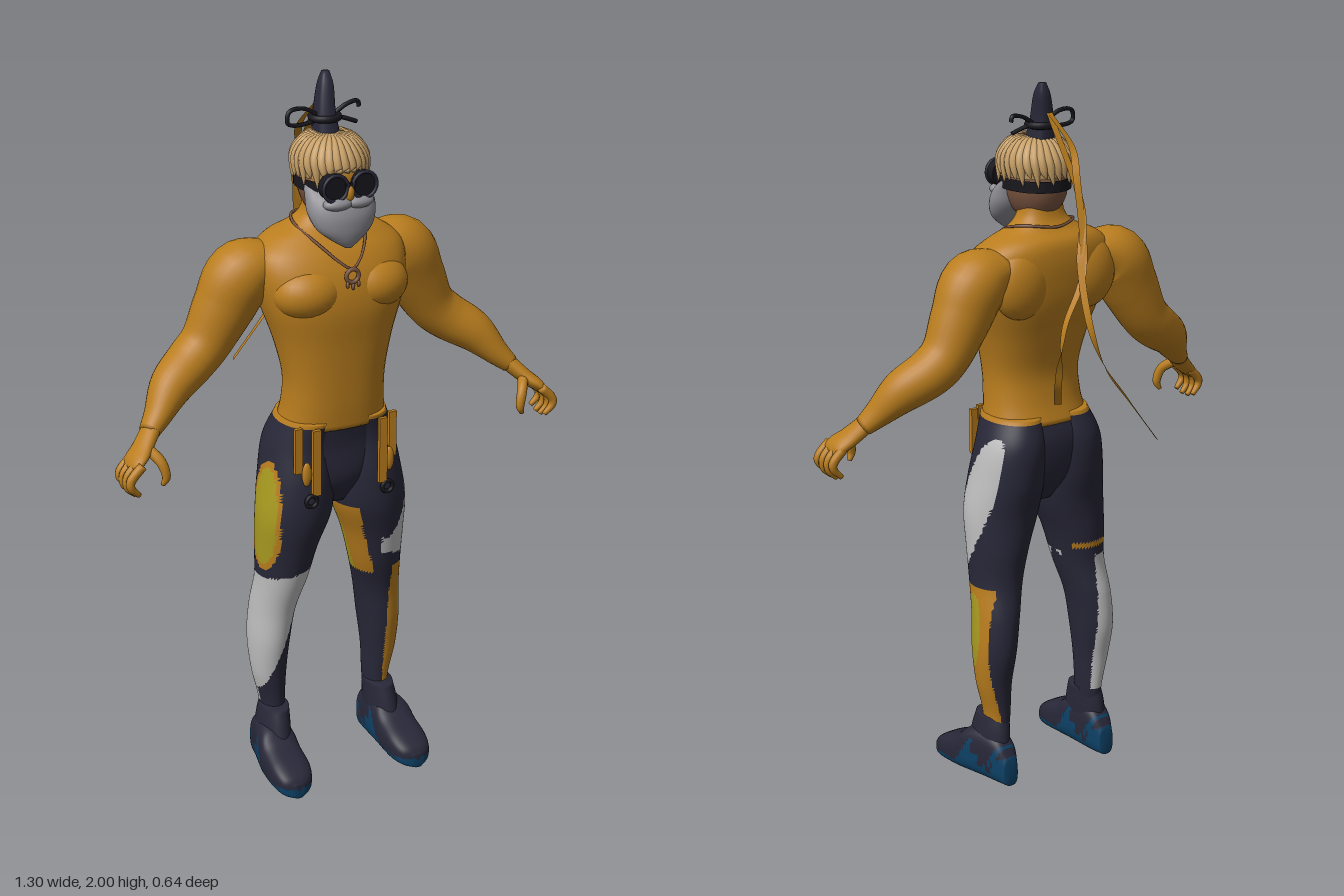
import * as THREE from 'three';

const mat = (name, color) => {
  const m = new THREE.MeshStandardMaterial({ color, side: THREE.DoubleSide });
  m.name = name;
  return m;
};

// Smooth body through rings [x, y, z, halfWidthA, halfWidthB].
// dir fixes the ring plane, e squares the section, paint picks a material index.
function loft(rings, { seg = 20, sub = 5, dir = null, ref = [0, 0, 1], e = 2, paint = null } = {}) {
  const path = new THREE.CatmullRomCurve3(rings.map(r => new THREE.Vector3(r[0], r[1], r[2])), false, 'catmullrom');
  const size = new THREE.CatmullRomCurve3(rings.map(r => new THREE.Vector3(r[3], r[4], 0)), false, 'catmullrom');
  const rows = (rings.length - 1) * sub, pos = [], groups = [];
  const pw = v => Math.sign(v) * Math.pow(Math.abs(v), 2 / e);
  for (let i = 0; i <= rows; i++) {
    const c = path.getPoint(i / rows), s = size.getPoint(i / rows);
    const T = dir ? new THREE.Vector3(...dir) : path.getTangent(i / rows);
    const B = new THREE.Vector3(...ref).addScaledVector(T, -T.dot(new THREE.Vector3(...ref))).normalize();
    const A = new THREE.Vector3().crossVectors(T, B);
    for (let j = 0; j < seg; j++) {
      const a = j / seg * Math.PI * 2;
      const p = c.clone().addScaledVector(A, pw(Math.cos(a)) * s.x).addScaledVector(B, pw(Math.sin(a)) * s.y);
      pos.push(p.x, p.y, p.z);
    }
  }
  const first = pos.length / 3;
  for (const t of [0, 1]) pos.push(...path.getPoint(t).toArray());
  const tri = (a, b, c) => {
    const mid = k => (pos[a * 3 + k] + pos[b * 3 + k] + pos[c * 3 + k]) / 3;
    const m = paint ? paint(mid(0), mid(1), mid(2)) : 0;
    (groups[m] ??= []).push(a, b, c);
  };
  for (let j = 0; j < seg; j++) {
    const k = (j + 1) % seg, L = rows * seg;
    for (let i = 0; i < rows; i++) {
      const a = i * seg + j, b = a + seg, c = i * seg + k, d = c + seg;
      tri(a, b, c);
      tri(b, d, c);
    }
    tri(first, j, k);
    tri(first + 1, L + k, L + j);
  }
  const g = new THREE.BufferGeometry(), index = [];
  groups.forEach((list, m) => {
    g.addGroup(index.length, list.length, m);
    for (const v of list) index.push(v);
  });
  g.setAttribute('position', new THREE.Float32BufferAttribute(pos, 3));
  g.setIndex(index);
  g.computeVertexNormals();
  if (!paint) g.clearGroups();
  return g;
}

// Flat ribbon whose width lies level
function ribbon(points, w) {
  const curve = new THREE.CatmullRomCurve3(points.map(p => new THREE.Vector3(...p)));
  const n = 40, pos = [], idx = [], up = new THREE.Vector3(0, 1, 0);
  for (let i = 0; i <= n; i++) {
    const p = curve.getPoint(i / n), s = curve.getTangent(i / n).cross(up).normalize().multiplyScalar(w);
    pos.push(p.x + s.x, p.y, p.z + s.z, p.x - s.x, p.y, p.z - s.z);
    if (i < n) idx.push(2 * i, 2 * i + 1, 2 * i + 2, 2 * i + 1, 2 * i + 3, 2 * i + 2);
  }
  const g = new THREE.BufferGeometry();
  g.setAttribute('position', new THREE.Float32BufferAttribute(pos, 3));
  g.setIndex(idx);
  g.computeVertexNormals();
  return g;
}

const tube = (points, r, closed = false) => new THREE.TubeGeometry(
  new THREE.CatmullRomCurve3(points.map(p => new THREE.Vector3(...p)), closed), 48, r, 6, closed);
// Level ring from its extents
const ring = (y, x0, x1, z0, z1) => [(x0 + x1) / 2, y, (z0 + z1) / 2, (x1 - x0) / 2, (z1 - z0) / 2];
const DOWN = [0, -1, 0];

export function createModel() {
  const skin = mat('amber skin', 0xb97d1e), navy = mat('dark navy', 0x282738), white = mat('pale grey', 0xbebebe);
  const yellow = mat('olive yellow', 0xa89a20), hair = mat('blond', 0xc9a168), beard = mat('beard grey', 0x8c8c92);
  const black = mat('black', 0x17171d), blue = mat('deep blue', 0x0d4166), brown = mat('brown', 0x7a5540);
  const model = new THREE.Group();
  const add = (name, geo, material, p = [0, 0, 0], scale = [1, 1, 1]) => {
    const m = new THREE.Mesh(geo, material);
    m.name = name;
    m.position.set(...p);
    m.scale.set(...scale);
    model.add(m);
    return m;
  };
  const ball = new THREE.SphereGeometry(1, 28, 18);

  // Torso and neck
  const torso = [[1.74, .06, .05, .14], [1.65, .065, .04, .145], [1.61, .1, .02, .155], [1.58, .165, -.01, .18],
    [1.54, .21, -.02, .215], [1.48, .215, -.02, .245], [1.4, .198, -.01, .258], [1.3, .165, .02, .25],
    [1.2, .143, .043, .243], [1.12, .143, .035, .238], [1.055, .153, .015, .232]];
  add('torso', loft(torso.map(([y, x, a, b]) => ring(y, -x, x, a, b)), { seg: 40, dir: DOWN, e: 2.4 }), skin);

  // Hips
  const hips = [[1.07, .15, .02, .23], [1, .17, .005, .22], [.9, .12, .02, .22], [.82, .04, .07, .18]];
  add('hips', loft(hips.map(([y, x, a, b]) => ring(y, -x, x, a, b)), { seg: 32, dir: DOWN, e: 2.3 }), navy);

  // Trouser patches: 0 navy, 1 white, 2 amber, 3 yellow
  const inEllipse = (z, y, cz, cy, rz, ry) => ((z - cz) / rz) ** 2 + ((y - cy) / ry) ** 2 < 1;
  const leftPaint = (x, y, z) => {
    if (y > 1.065) return 2;
    if (x > .12 && inEllipse(z, y, .125 - (y - .83) * .3, .83, .065, .2)) return 1;
    if (x > .165 && y < .59 && y > .17 && z > .045)
      return inEllipse(z, y, .115, .46, .036, .11) ? 3 : 2;
    const inner = .02 + (.8 - y) * .3;
    if (y < .8 && y > .57 && x < inner + .025) return z > .12 ? 2 : z > .05 ? 3 : 0;
    return 0;
  };
  const rightPaint = (x, y, z) => {
    const X = -x;
    if (y > 1.065) return 2;
    if (X > .16 && inEllipse(z, y, .14, .8, .065, .16)) return inEllipse(z, y, .14, .8, .055, .14) ? 3 : 2;
    if (y < .62 + (.2 - X) * .15 && y > .2 && X > (z > .09 ? .07 + (.62 - y) * .38 : .145)) return 1;
    if (y > .655 && y < .672 && z < .06 && X > .08) return 2;
    return 0;
  };
  const leg = [[1.08, 0, .152, .02, .23], [1, 0, .185, -.005, .22], [.9, 0, .205, 0, .235], [.8, .008, .22, .02, .235],
    [.7, .045, .22, .025, .215], [.6, .072, .218, .03, .195], [.5, .1, .225, .012, .17], [.4, .115, .23, .01, .16],
    [.3, .125, .222, .03, .145], [.2, .13, .2, .04, .135], [.12, .135, .2, .045, .14]];
  const arm = [[.15, 1.52, .075, .05, .07], [.235, 1.485, .07, .09, .09], [.285, 1.4, .065, .085, .08],
    [.335, 1.31, .062, .07, .07], [.385, 1.262, .07, .066, .068], [.455, 1.215, .1, .058, .06],
    [.51, 1.155, .135, .037, .042], [.545, 1.12, .155, .026, .032]];
  const shoe = [[.006, .15, .195, .08], [.04, .135, .21, .13], [.1, .128, .225, .15], [.16, .125, .24, .14],
    [.2, .125, .244, .11], [.26, .127, .244, .085], [.3, .143, .232, .062], [.318, .172, .205, .04]];
  const shoePaint = (x, y, z) =>
    y < .03 || (z < .19 && y < .065 + .035 * Math.sin(z * 60) + .02 * Math.sin(z * 130 + y * 90)) ? 1 : 0;

  for (const s of [1, -1]) {
    const side = s > 0 ? 'left' : 'right';
    const flip = list => list.map(r => [r[0] * s, ...r.slice(1)]);
    add(side + 'Leg', loft(flip(leg.map(r => ring(...r))),
      { seg: 56, sub: 12, dir: DOWN, paint: s > 0 ? leftPaint : rightPaint }), [navy, white, skin, yellow]);

    // Shoe and its collar
    add(side + 'Shoe', loft(flip(shoe.map(([z, a, b, h]) => [(a + b) / 2, h / 2, z, (b - a) / 2, h / 2])),
      { seg: 40, sub: 7, dir: [0, 0, 1], ref: [0, 1, 0], e: 3, paint: shoePaint }), [navy, blue]);
    add(side + 'ShoeCollar', loft(flip([ring(.195, .128, .204, .045, .165), ring(.15, .128, .212, .035, .18),
      ring(.08, .13, .22, .03, .2)]), { seg: 28, dir: DOWN }), navy);

    // Chest muscle, shoulder blade and arm
    add(side + 'Chest', ball, skin, [.095 * s, 1.445, .18], [.1, .075, .083]);
    add(side + 'ShoulderBlade', ball, skin, [.11 * s, 1.47, .03], [.09, .1, .055]);
    add(side + 'Arm', loft(flip(arm), { seg: 28 }), skin);

    // Hand with curled fingers
    add(side + 'Palm', loft(flip([[.53, 1.135, .147, .024, .03], [.575, 1.09, .178, .021, .038],
      [.605, 1.065, .198, .018, .044], [.618, 1.048, .203, .012, .038]])), skin);
    for (let f = 0; f < 4; f++) {
      const z = .165 + f * .025, d = Math.abs(f - 1.5) * .008;
      add(side + 'Finger', loft(flip([[.6, 1.067, z, .013, .012], [.632, 1.035, z + .002, .013, .012],
        [.635, 1 + d, z + .003, .011, .011], [.612, .974 + d, z, .007, .007]]), { seg: 10 }), skin);
    }
    add(side + 'Thumb', loft(flip([[.57, 1.095, .19, .015, .016], [.545, 1.065, .228, .014, .014],
      [.534, 1.025, .238, .012, .012], [.543, 1, .234, .006, .006]]), { seg: 10 }), skin);

    // Round glasses
    const lens = add(side + 'Lens', new THREE.CylinderGeometry(.036, .036, .03, 28), black, [.042 * s, 1.735, .22]);
    lens.rotation.x = Math.PI / 2;
    add(side + 'LensRim', new THREE.TorusGeometry(.035, .005, 8, 28), navy, [.042 * s, 1.735, .236]);
    add(side + 'Moustache', ball, beard, [.03 * s, 1.69, .225], [.042, .018, .026]);

    // Waist cords hanging at the front
    add(side + 'OuterCord', new THREE.BoxGeometry(.022, .13, .012), skin, [.142 * s, 1.01, .217]);
    add(side + 'InnerCord', new THREE.BoxGeometry(.024, .19, .012), skin, [.1 * s, .978, .243]);
    add(side + 'CordTassel', ball, skin, [.125 * s, .945, .235], [.014, .035, .01]);
    add(side + 'CordRing', new THREE.TorusGeometry(.016, .006, 8, 18), black, [.115 * s, .868, .245]);
  }

  // Head and face
  add('head', ball, brown, [0, 1.73, .115], [.085, .115, .1]);
  add('face', ball, skin, [0, 1.745, .15], [.077, .07, .074]);
  add('nose', ball, skin, [0, 1.718, .228], [.014, .026, .018]);
  add('glassesBridge', new THREE.BoxGeometry(.03, .008, .008), black, [0, 1.742, .236]);
  const strap = new THREE.CylinderGeometry(.1, .1, .032, 40, 1, true, Math.PI * .27, Math.PI * 1.46);
  add('glassesStrap', strap, black, [0, 1.727, .115], [.92, 1, 1.08]);
  const beardRings = [[1.735, .086, .11, .17], [1.7, .094, .11, .225], [1.66, .096, .125, .247],
    [1.62, .08, .155, .25], [1.59, .045, .185, .245], [1.568, .01, .215, .235]];
  add('beard', loft(beardRings.map(([y, x, a, b]) => ring(y, -x, x, a, b)), { seg: 28, dir: DOWN }), beard);

  // Hair cap with overlapping locks
  add('hairCap', new THREE.SphereGeometry(1, 32, 14, 0, Math.PI * 2, 0, Math.PI * .58), hair,
    [0, 1.768, .115], [.094, .084, .106]);
  for (let i = 0; i < 30; i++) {
    const a = (i + .5) / 30 * Math.PI * 2, sx = Math.sin(a), cz = Math.cos(a);
    const tip = (cz > .75 ? 1.768 + .012 * Math.abs(cz) : 1.74) + .014 * Math.sin(i * 2.7);
    const at = (r, y, w, turn = 0) => [Math.sin(a + turn) * r * .93, y, .115 + Math.cos(a + turn) * r * 1.07, w, w];
    add('hairLock', loft([at(.02, 1.845, .008), at(.06, 1.836, .014), at(.09, 1.805, .015),
      at(.1, 1.775, .012, .05), at(.104, tip, .002, .12)], { seg: 7, sub: 3, ref: [cz, 0, -sx] }), hair);
  }

  // Topknot and bow
  add('topknot', loft([[.012, 2, .066, .01, .01], [.008, 1.965, .073, .02, .024], [0, 1.9, .085, .026, .034],
    [0, 1.835, .095, .034, .042]], { seg: 16, dir: DOWN, e: 2.8 }), navy);
  add('topknotBand', new THREE.TorusGeometry(.036, .01, 8, 24), black, [0, 1.885, .088]).rotation.x = Math.PI / 2;
  add('bowLoop', tube([[-.02, 1.885, .09], [-.06, 1.913, .09], [-.105, 1.91, .092], [-.11, 1.88, .095],
    [-.07, 1.872, .093]], .006, true), black);
  add('bowLoopSmall', tube([[.02, 1.885, .09], [.06, 1.91, .09], [.095, 1.915, .088], [.1, 1.9, .088]], .006), black);
  add('bowTail', tube([[.02, 1.885, .09], [.05, 1.878, .1], [.085, 1.865, .105]], .006), black);

  // Long trailing ribbons
  add('shortRibbon', ribbon([[0, 1.92, .05], [-.02, 1.84, -.02], [0, 1.765, -.07], [.04, 1.525, -.15],
    [.115, 1.395, -.17], [.125, 1.235, -.155], [.09, 1.16, -.105]], .01), skin);
  add('longRibbon', ribbon([[0, 1.92, .05], [.005, 1.685, -.1], [.04, 1.55, -.14], [.08, 1.395, -.24],
    [.06, 1.3, -.275], [-.01, 1.2, -.285], [-.09, 1.08, -.31]], .01), skin);

  // Necklace and pendant
  add('necklace', tube([[0, 1.615, .015], [.075, 1.622, .045], [.098, 1.613, .1], [.065, 1.57, .195], [.025, 1.53, .24],
    [0, 1.515, .25], [-.025, 1.53, .24], [-.065, 1.57, .195], [-.098, 1.613, .1], [-.075, 1.622, .045]], .004, true), brown);
  add('pendant', new THREE.TorusGeometry(.018, .006, 8, 20), brown, [0, 1.497, .252]);
  for (const x of [-.016, 0, .016])
    add('pendantBead', ball, brown, [x, 1.468 + Math.abs(x) * .4, .256], [.005, .009, .005]);

  return model;
}
